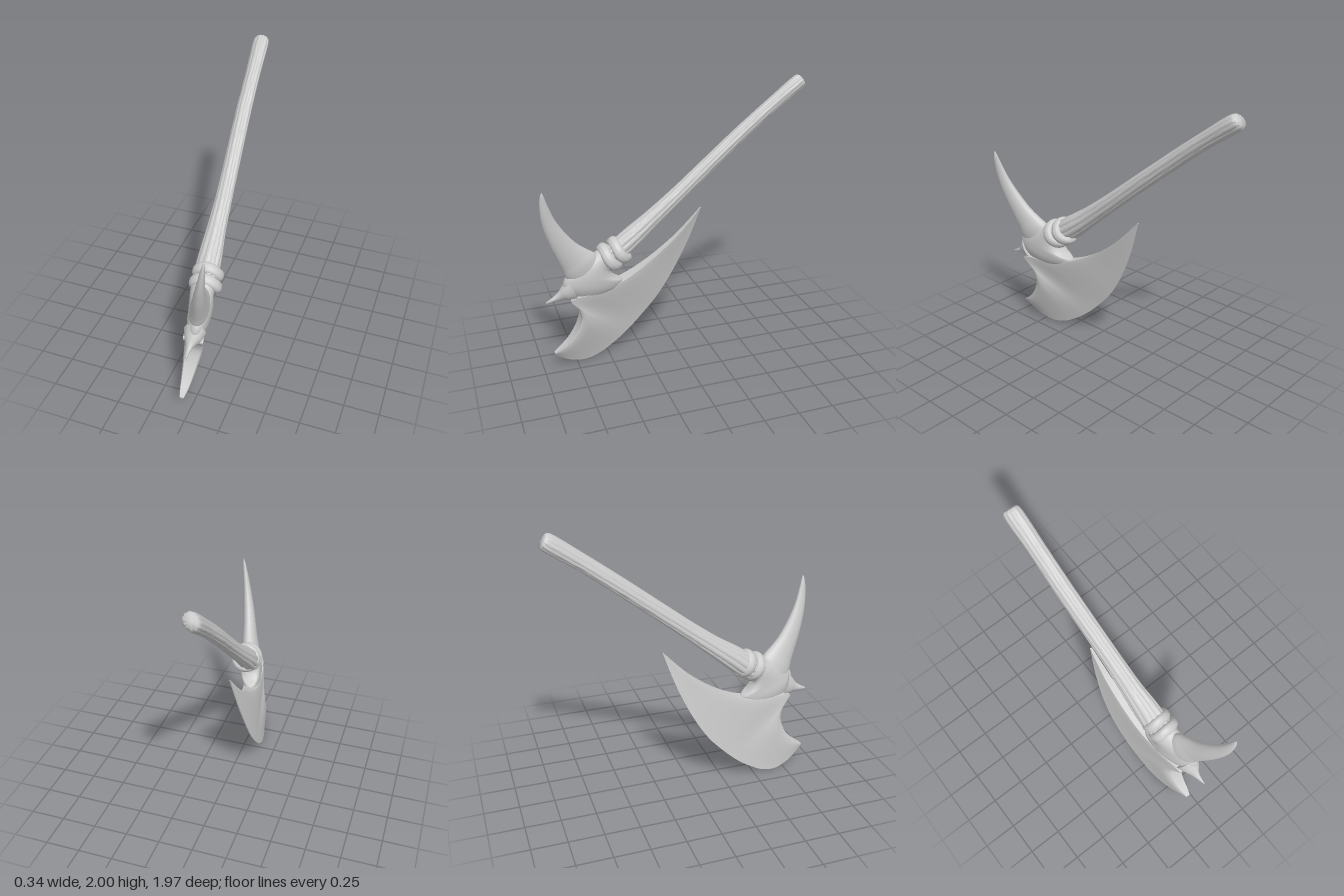
import * as THREE from 'three';
import { toCreasedNormals } from 'three/addons/utils/BufferGeometryUtils.js';

const material = new THREE.MeshStandardMaterial({ color: 0xcccccc });

// The whole axe lies in one slightly tilted plane: x follows from z and y.
const planeX = (z, y) => -0.242 + 0.187 * z + 0.145 * y;

// Skin closed loops of equal length, with a fan cap at both ends.
function skin(rings, crease) {
  const n = rings[0].length;
  const pos = [];
  const index = [];
  rings.forEach((ring) => ring.forEach((p) => pos.push(p.x, p.y, p.z)));
  for (let i = 0; i < rings.length - 1; i++) {
    for (let j = 0; j < n; j++) {
      const a = i * n + j, b = i * n + (j + 1) % n;
      index.push(a, b, b + n, a, b + n, a + n);
    }
  }
  [0, rings.length - 1].forEach((r, end) => {
    const c = new THREE.Vector3();
    rings[r].forEach((p) => c.addScaledVector(p, 1 / n));
    const k = pos.length / 3;
    pos.push(c.x, c.y, c.z);
    for (let j = 0; j < n; j++) {
      const a = r * n + j, b = r * n + (j + 1) % n;
      if (end) index.push(k, a, b); else index.push(k, b, a);
    }
  });
  // Turn the faces outwards if the enclosed volume is negative.
  const at = (i) => new THREE.Vector3().fromArray(pos, i * 3);
  let volume = 0;
  for (let i = 0; i < index.length; i += 3) {
    volume += at(index[i]).dot(at(index[i + 1]).cross(at(index[i + 2])));
  }
  if (volume < 0) index.reverse();
  const g = new THREE.BufferGeometry();
  g.setAttribute('position', new THREE.Float32BufferAttribute(pos, 3));
  g.setIndex(index);
  return toCreasedNormals(g, crease);
}

const curve = (points) => new THREE.CatmullRomCurve3(points.map((p) => new THREE.Vector3(...p)));

// Oval loft. Each row: edge A (z, y), edge B (z, y), half thickness, sideways shift.
function loft(rows, { steps = 40, sides = 32, crease = 0.9, ridge = () => 1 } = {}) {
  const edgeA = curve(rows.map(([az, ay, , , h]) => [h, ay, az]));
  const edgeB = curve(rows.map(([, , bz, by, , dx = 0]) => [dx, by, bz]));
  const rings = [];
  for (let i = 0; i <= steps; i++) {
    const a = edgeA.getPoint(i / steps), b = edgeB.getPoint(i / steps);
    const ring = [];
    for (let j = 0; j < sides; j++) {
      const t = (j / sides) * Math.PI * 2;
      const k = ridge(t, i / steps);
      const u = 0.5 + 0.5 * Math.cos(t) * k;
      const z = b.z + (a.z - b.z) * u, y = b.y + (a.y - b.y) * u;
      ring.push(new THREE.Vector3(planeX(z, y) + b.x + Math.sin(t) * a.x * k, y, z));
    }
    rings.push(ring);
  }
  return skin(rings, crease);
}

// Crescent blade: thick inner rim swept towards a thin cutting edge.
function bladeGeometry() {
  // inner z, inner y, outer z, outer y, half thickness, sideways shift
  const rows = [
    [-0.203, 1.097, -0.205, 1.092, 0.004, 0.022], [-0.1, 0.985, -0.165, 0.972, 0.014, 0.017],
    [0, 0.888, -0.11, 0.82, 0.022, 0.01], [0.2, 0.742, -0.005, 0.593, 0.036, 0],
    [0.4, 0.643, 0.11, 0.408, 0.055, -0.004], [0.6, 0.605, 0.212, 0.292, 0.07, -0.006],
    [0.8, 0.59, 0.305, 0.2, 0.078, -0.005], [0.745, 0.5, 0.395, 0.125, 0.084, -0.003],
    [0.722, 0.42, 0.478, 0.07, 0.084, -0.002], [0.75, 0.32, 0.56, 0.025, 0.07, -0.001],
    [0.82, 0.22, 0.68, 0, 0.05, 0], [0.88, 0.17, 0.8, 0.033, 0.033, 0],
    [0.922, 0.14, 0.91, 0.105, 0.016, 0],
  ];
  const inner = curve(rows.map(([z, y, , , h]) => [h, y, z]));
  const outer = curve(rows.map(([, , z, y, , dx]) => [dx, y, z]));
  const steps = 96, across = 20, rings = [];
  for (let i = 0; i <= steps; i++) {
    const a = inner.getPoint(i / steps), b = outer.getPoint(i / steps);
    // the notch side is rounded off more than the upper edge
    const round = 0.12 + 0.26 * THREE.MathUtils.smoothstep(i / steps, 0.48, 0.6);
    const ring = [];
    for (const side of [1, -1]) {
      for (let j = 0; j <= across; j++) {
        const s = Math.pow(side > 0 ? j / across : 1 - j / across, 1.3);
        const z = a.z + (b.z - a.z) * s, y = a.y + (b.y - a.y) * s;
        const half = Math.min(a.x, 0.004) + a.x * Math.pow(1 - s, 1.15) * (1 - round * Math.exp(-9 * s));
        const shift = b.x + a.x * 0.2 * (1 - s);
        ring.push(new THREE.Vector3(planeX(z, y) + shift + side * half, y, z));
      }
    }
    rings.push(ring);
  }
  return skin(rings, 0.7);
}

// Handle: row of centre (z, y), radius, sideways shift.
function handleGeometry() {
  const rows = [
    [-0.958, 1.96, 0.044, 0.02], [-0.944, 1.95, 0.053, 0.02], [-0.72, 1.788, 0.053, 0.013],
    [-0.5, 1.618, 0.055, 0.006], [-0.2, 1.378, 0.057, 0.005], [0, 1.216, 0.06, 0.004],
    [0.2, 1.058, 0.069, 0], [0.33, 0.96, 0.081, 0], [0.42, 0.893, 0.085, 0], [0.52, 0.835, 0.085, 0],
  ].map(([z, y, r, dx]) => [z + 0.6 * r, y + 0.8 * r, z - 0.6 * r, y - 0.8 * r, r, dx]);
  // carved lengthwise grooves that wander a little
  const ridge = (t, v) => {
    const groove = Math.pow(Math.abs(Math.cos(5.5 * t + 0.7 * Math.sin(v * 7))), 6);
    return 1.03 - 0.09 * groove + 0.015 * Math.cos(4 * t + v * 5);
  };
  return loft(rows, { steps: 70, sides: 88, crease: 1.1, ridge });
}

export function createModel() {
  const model = new THREE.Group();
  model.name = 'axe';
  const add = (name, geometry) => {
    const mesh = new THREE.Mesh(geometry, material);
    mesh.name = name;
    model.add(mesh);
    return mesh;
  };

  add('handle', handleGeometry());
  add('blade', bladeGeometry());

  // Swelling socket that joins the handle, blade and spikes
  add('head', loft([
    [0.55, 0.93, 0.45, 0.79, 0.08], [0.62, 0.89, 0.5, 0.74, 0.083],
    [0.73, 0.84, 0.46, 0.68, 0.084, 0.008], [0.825, 0.765, 0.4, 0.64, 0.083, 0.014],
    [0.845, 0.69, 0.42, 0.6, 0.079, 0.014], [0.8, 0.61, 0.48, 0.565, 0.06, 0.012],
    [0.73, 0.56, 0.52, 0.53, 0.03, 0.01],
  ]));

  // Long curved spike on the poll side
  add('longSpike', loft([
    [0.79, 0.68, 0.56, 0.84, 0.068, 0.01], [0.828, 0.765, 0.61, 0.905, 0.066, 0.013],
    [0.845, 0.82, 0.665, 0.948, 0.058, 0.014], [0.868, 0.88, 0.735, 1.008, 0.052, 0.014],
    [0.93, 1.04, 0.815, 1.108, 0.042, 0.014], [0.973, 1.2, 0.885, 1.225, 0.029, 0.016],
    [0.985, 1.33, 0.93, 1.34, 0.018, 0.018], [0.978, 1.41, 0.953, 1.41, 0.009, 0.019],
    [0.968, 1.437, 0.964, 1.437, 0.002, 0.019],
  ]));

  // Short pointed spur at the corner of the blade
  add('shortSpur', loft([
    [0.81, 0.755, 0.74, 0.56, 0.078, 0.012], [0.85, 0.69, 0.795, 0.57, 0.057, 0.008],
    [0.893, 0.632, 0.855, 0.578, 0.025], [0.968, 0.583, 0.962, 0.573, 0.003, -0.004],
  ]));

  // Two bulging, flattened bands around the neck
  const axis = new THREE.Vector3(planeX(0.8, -0.6) - planeX(0, 0), -0.58, 0.81).normalize();
  [[0.434, 0.883, 0.075], [0.508, 0.845, 0.079]].forEach(([z, y, radius], i) => {
    const torus = new THREE.TorusGeometry(radius, 0.034, 16, 64);
    const p = torus.attributes.position;
    for (let k = 0; k < p.count; k++) {
      const t = Math.atan2(p.getY(k), p.getX(k));
      const w = p.getZ(k) / 0.034;
      p.setZ(k, 0.04 * Math.sign(w) * Math.pow(Math.abs(w), 0.75) + 0.01 * Math.cos(2 * t));
    }
    torus.computeVertexNormals();
    const band = add('neckBand' + (i + 1), torus);
    band.position.set(planeX(z, y) + 0.012, y, z);
    band.quaternion.setFromUnitVectors(new THREE.Vector3(0, 0, 1), axis);
  });

  return model;
}
